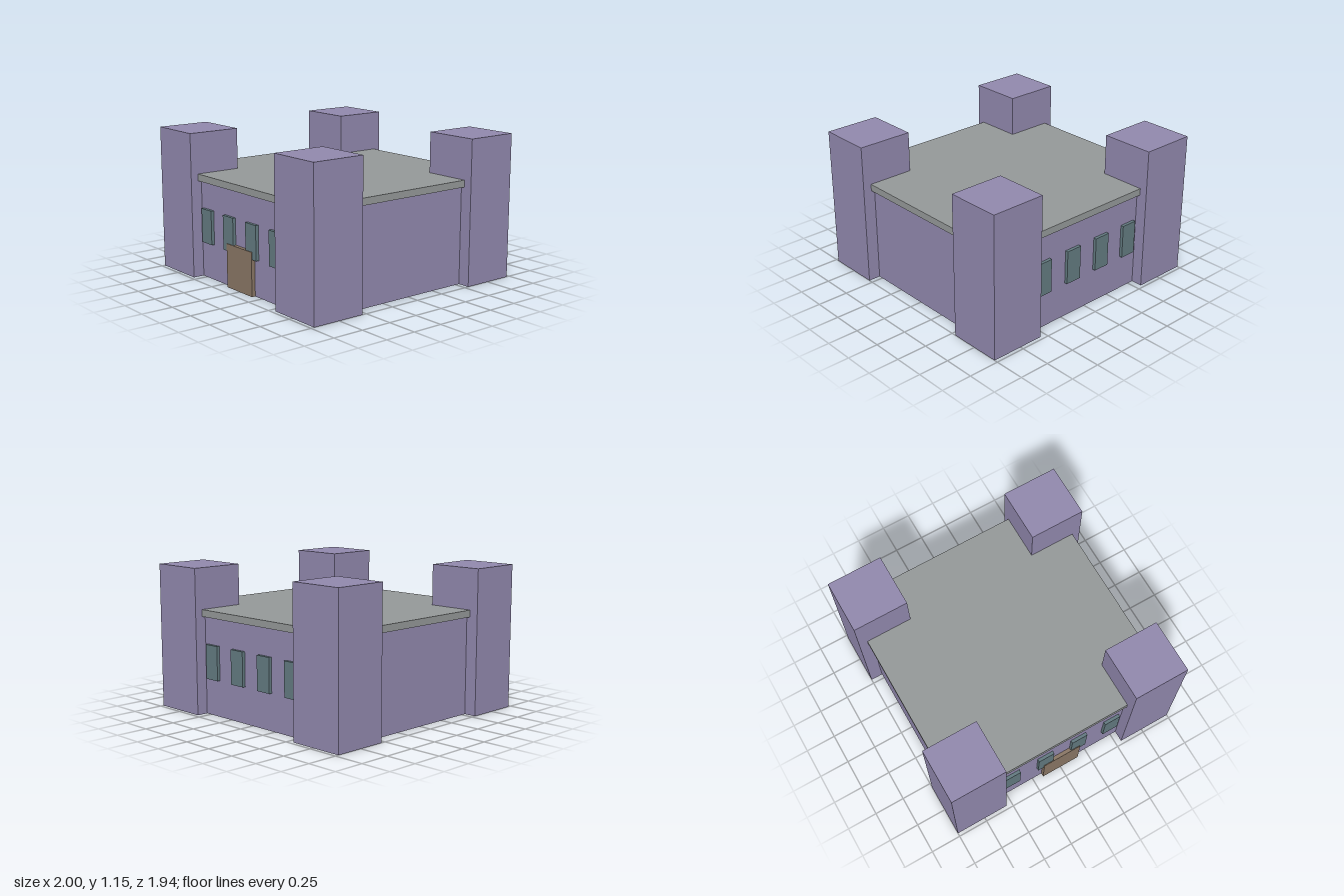
import * as THREE from 'three';

const material = (name, color) => {
  const m = new THREE.MeshStandardMaterial({ color });
  m.name = name;
  return m;
};

// Box given by its min and max corners
function block(name, mat, [x0, y0, z0], [x1, y1, z1]) {
  const mesh = new THREE.Mesh(new THREE.BoxGeometry(x1 - x0, y1 - y0, z1 - z0), mat);
  mesh.name = name;
  mesh.position.set((x0 + x1) / 2, (y0 + y1) / 2, (z0 + z1) / 2);
  return mesh;
}

export function createModel() {
  const group = new THREE.Group();
  group.name = 'fort';
  const stone = material('purple stone', 0x9087ac);
  const slate = material('grey roof', 0x939797);
  const glass = material('teal glass', 0x62797f);
  const wood = material('brown wood', 0x887564);

  // Main hall and its overhanging flat roof
  group.add(block('walls', stone, [-0.9, 0, -0.88], [0.9, 0.775, 0.88]));
  group.add(block('roof', slate, [-0.93, 0.775, -0.91], [0.93, 0.83, 0.91]));

  // Corner towers
  for (const sx of [-1, 1]) {
    for (const sz of [-1, 1]) {
      const tower = block('tower', stone, [-0.225, 0, -0.218], [0.225, 1.155, 0.218]);
      tower.position.x = sx * 0.775;
      tower.position.z = sz * 0.754;
      group.add(tower);
    }
  }

  // Four windows on the front and four on the back
  for (const sz of [-1, 1]) {
    for (const x of [-0.45, -0.15, 0.15, 0.45]) {
      const pane = block('window', glass, [-0.068, 0.288, -0.02], [0.068, 0.56, 0.02]);
      pane.position.x = x;
      pane.position.z = sz * 0.885;
      group.add(pane);
    }
  }

  // Front door
  group.add(block('door', wood, [-0.165, 0, 0.87], [0.165, 0.347, 0.91]));
  return group;
}
